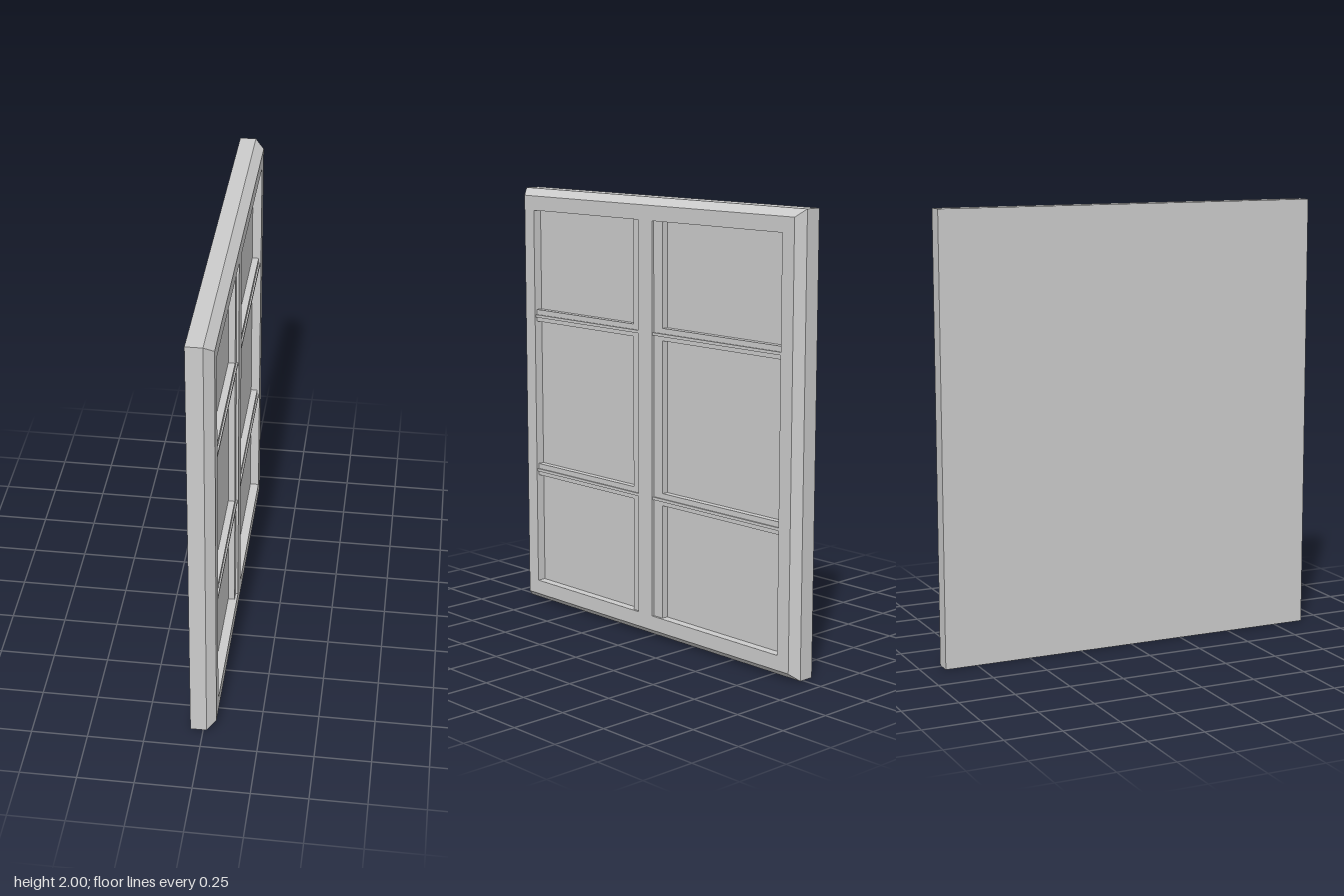
import * as THREE from 'three';

const BACK = -0.057, PANE = 0.014, STEP = 0.044, FACE = 0.055;

// Mitred rectangular ring swept from a closed profile of [inset, x] points
function mitredFrame(halfY, halfZ, profile) {
  const corners = [[1, 1], [1, -1], [-1, -1], [-1, 1]];
  const at = ([sy, sz], [inset, x]) => [x, 1 + sy * (halfY - inset), sz * (halfZ - inset)];
  const pos = [];
  corners.forEach((c0, i) => {
    const c1 = corners[(i + 1) % 4];
    profile.forEach((p0, j) => {
      const p1 = profile[(j + 1) % profile.length];
      const a = at(c0, p0), b = at(c0, p1), c = at(c1, p1), d = at(c1, p0);
      pos.push(...a, ...b, ...c, ...a, ...c, ...d);
    });
  });
  const geo = new THREE.BufferGeometry();
  geo.setAttribute('position', new THREE.Float32BufferAttribute(pos, 3));
  geo.computeVertexNormals();
  return geo;
}

export function createModel() {
  const group = new THREE.Group();
  const mat = new THREE.MeshStandardMaterial({ color: 0xcccccc });

  function add(name, geo) {
    const mesh = new THREE.Mesh(geo, mat);
    mesh.name = name;
    group.add(mesh);
    return mesh;
  }

  // Box given by its limits on each axis
  function block(name, x0, x1, y0, y1, z0, z1) {
    add(name, new THREE.BoxGeometry(x1 - x0, y1 - y0, z1 - z0))
      .position.set((x0 + x1) / 2, (y0 + y1) / 2, (z0 + z1) / 2);
  }

  // Outer frame with chamfered front edge
  add('frame', mitredFrame(1, 0.897, [
    [0, BACK], [0, 0.015], [0.033, FACE], [0.1, FACE], [0.1, BACK],
  ]));

  // Solid backing whose front shows as the panes
  block('panes', BACK, PANE, 0.1, 1.9, -0.797, 0.797);

  // Stepped vertical mullion
  block('mullionBase', PANE, STEP, 0.1, 1.9, -0.074, 0.117);
  block('mullionFace', STEP, FACE, 0.1, 1.9, -0.017, 0.074);

  // Horizontal glazing bars with a thin raised ridge, either side of the mullion
  for (const y of [0.652, 1.4]) {
    for (const [z0, z1] of [[0.117, 0.797], [-0.797, -0.074]]) {
      block('glazingBar', PANE, STEP, y - 0.026, y + 0.03, z0, z1);
    }
    for (const [z0, z1] of [[0.074, 0.797], [-0.797, -0.017]]) {
      block('barRidge', STEP, 0.051, y - 0.007, y + 0.006, z0, z1);
    }
  }
  return group;
}
